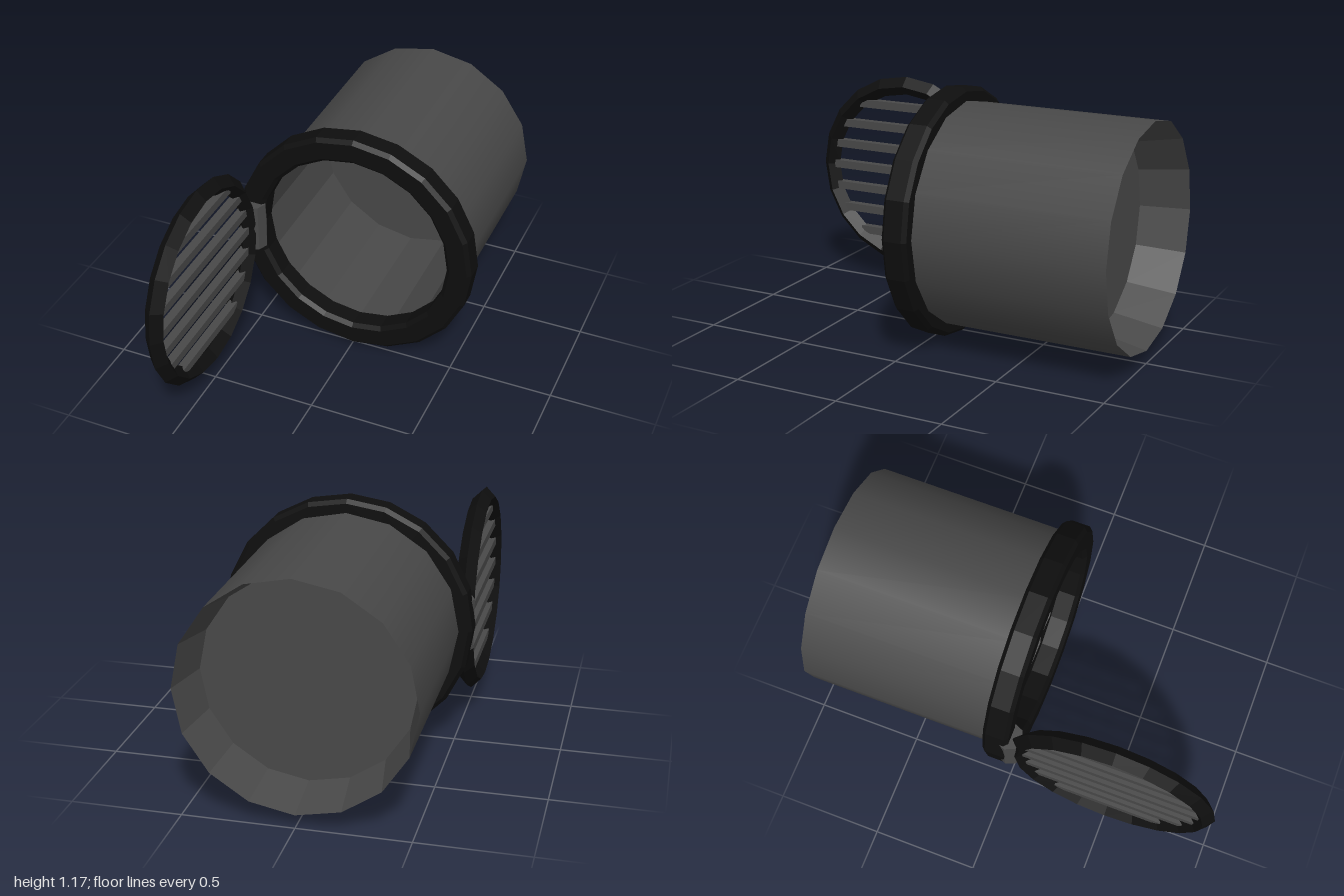
import * as THREE from 'three';

const CY = 0.586; // height of the pipe axis

export function createModel() {
  const model = new THREE.Group();
  const grey = new THREE.MeshStandardMaterial({ color: 0x484848 });
  grey.name = 'dark grey metal';
  const black = new THREE.MeshStandardMaterial({ color: 0x0e0e0e });
  black.name = 'black rim';

  const add = (name, geometry, material, parent = model) => {
    const mesh = new THREE.Mesh(geometry, material);
    mesh.name = name;
    parent.add(mesh);
    return mesh;
  };
  const faceted = (geometry) => {
    const flat = geometry.index ? geometry.toNonIndexed() : geometry;
    flat.computeVertexNormals();
    return flat;
  };
  // Revolves [radius, z] pairs about the pipe axis
  const turned = (points, sides) =>
    new THREE.LatheGeometry(points.map(([r, z]) => new THREE.Vector2(r, z)), sides)
      .rotateX(Math.PI / 2)
      .translate(0, CY, 0);

  // Pipe: smooth outside, faceted bore with an end wall, recessed back
  add('pipeOuter', turned([[0.522, -1], [0.522, -0.03]], 16), grey);
  add('pipeBore', faceted(turned([[0.478, 0], [0.478, -0.76], [0, -0.76]], 16)), grey);
  add('pipeBackRecess', faceted(turned([[0, -0.77], [0.475, -0.77], [0.522, -1]], 16)), grey);

  // Chamfered collar around the mouth
  const c = 0.018;
  const [ri, ro, z0, z1] = [0.463, 0.583, -0.098, 0.024];
  add('collar', faceted(turned([
    [ri, z0 + c], [ri + c, z0], [ro - c, z0], [ro, z0 + c],
    [ro, z1 - c], [ro - c, z1], [ri + c, z1], [ri, z1 - c], [ri, z0 + c],
  ], 20)), black);

  // Hinge pin beside the mouth
  add('hinge', faceted(new THREE.CylinderGeometry(0.065, 0.065, 0.24, 8)), grey)
    .position.set(-0.51, CY, 0.015);

  // Open grille door, swung out to the side
  const door = new THREE.Group();
  door.name = 'grilleDoor';
  door.position.set(-0.52, CY, 0.508);
  door.rotation.y = Math.PI / 2;
  model.add(door);
  add('doorRing', faceted(new THREE.TorusGeometry(0.447, 0.045, 4, 20)), black, door);

  // Horizontal slats cut to the width of the ring
  for (let i = -3; i <= 3; i++) {
    const y = i * 0.112;
    const length = 2 * Math.sqrt(0.427 ** 2 - y * y);
    add('slat', new THREE.BoxGeometry(length, 0.04, 0.04), grey, door).position.y = y;
  }
  return model;
}
